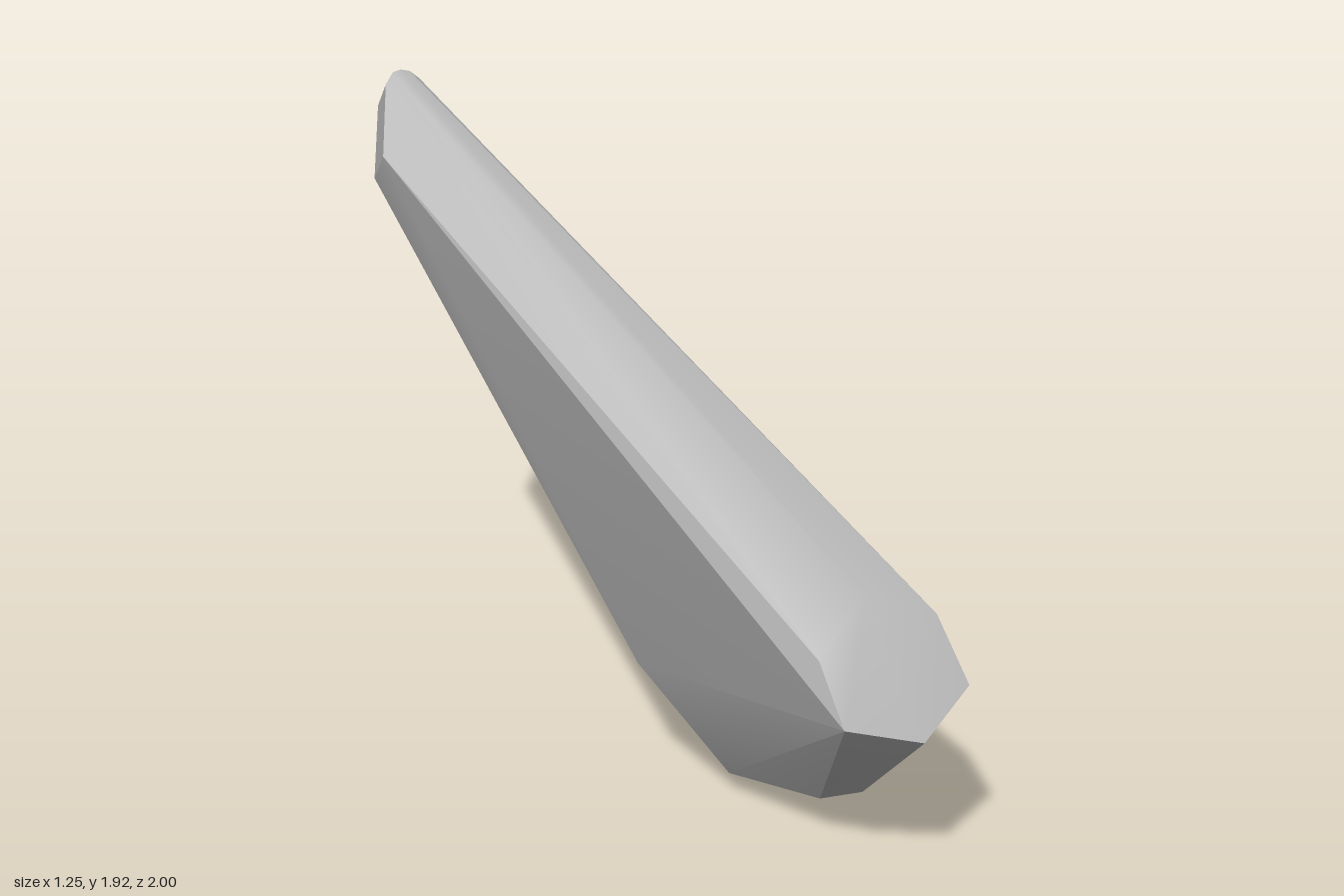
import * as THREE from 'three';
import { ConvexGeometry } from 'three/addons/geometries/ConvexGeometry.js';
import { toCreasedNormals } from 'three/addons/utils/BufferGeometryUtils.js';

export function createModel() {
  const group = new THREE.Group();
  group.name = 'shard';
  const stone = new THREE.MeshStandardMaterial({ color: 0xb0b0b0 });
  stone.name = 'grey stone';

  // rounded narrow tip: front arc, back arc, and the shoulder on the right side
  const tip = [
    [-0.58, 1.89, -0.85], [-0.555, 1.92, -0.865], [-0.53, 1.925, -0.87], [-0.505, 1.92, -0.865], [-0.48, 1.9, -0.85],
    [-0.58, 1.79, -0.975], [-0.555, 1.815, -0.995], [-0.53, 1.82, -1], [-0.505, 1.815, -0.995], [-0.48, 1.795, -0.98],
    [-0.625, 1.72, -0.71], [-0.625, 1.61, -0.85],
  ];
  // six-sided facet at the front
  const nose = [
    [0.19, 0.6, 0.96], [0.4, 0.55, 1], [0.56, 0.65, 0.91],
    [0.51, 0.81, 0.79], [0.32, 0.865, 0.75], [0.16, 0.75, 0.84],
  ];
  // wide lower end with its rounded heel
  const heel = [
    [-0.13, 0.44, 0.16], [0.12, 0.08, 0.24], [0.28, 0.15, 0.56],
    [0.5, 0, 0.33], [0.58, 0.07, 0.25], [0.62, 0.17, 0.19], [0.62, 0.35, 0.42],
    [0.45, 0.13, 0.175], [0.58, 0.31, 0.09], [0.45, 0.63, -0.08], [0.38, 0.75, -0.17],
  ];

  const points = [...tip, ...nose, ...heel].map((p) => new THREE.Vector3(...p));
  const body = new THREE.Mesh(toCreasedNormals(new ConvexGeometry(points), 0.45), stone);
  body.name = 'body';
  group.add(body);
  return group;
}
